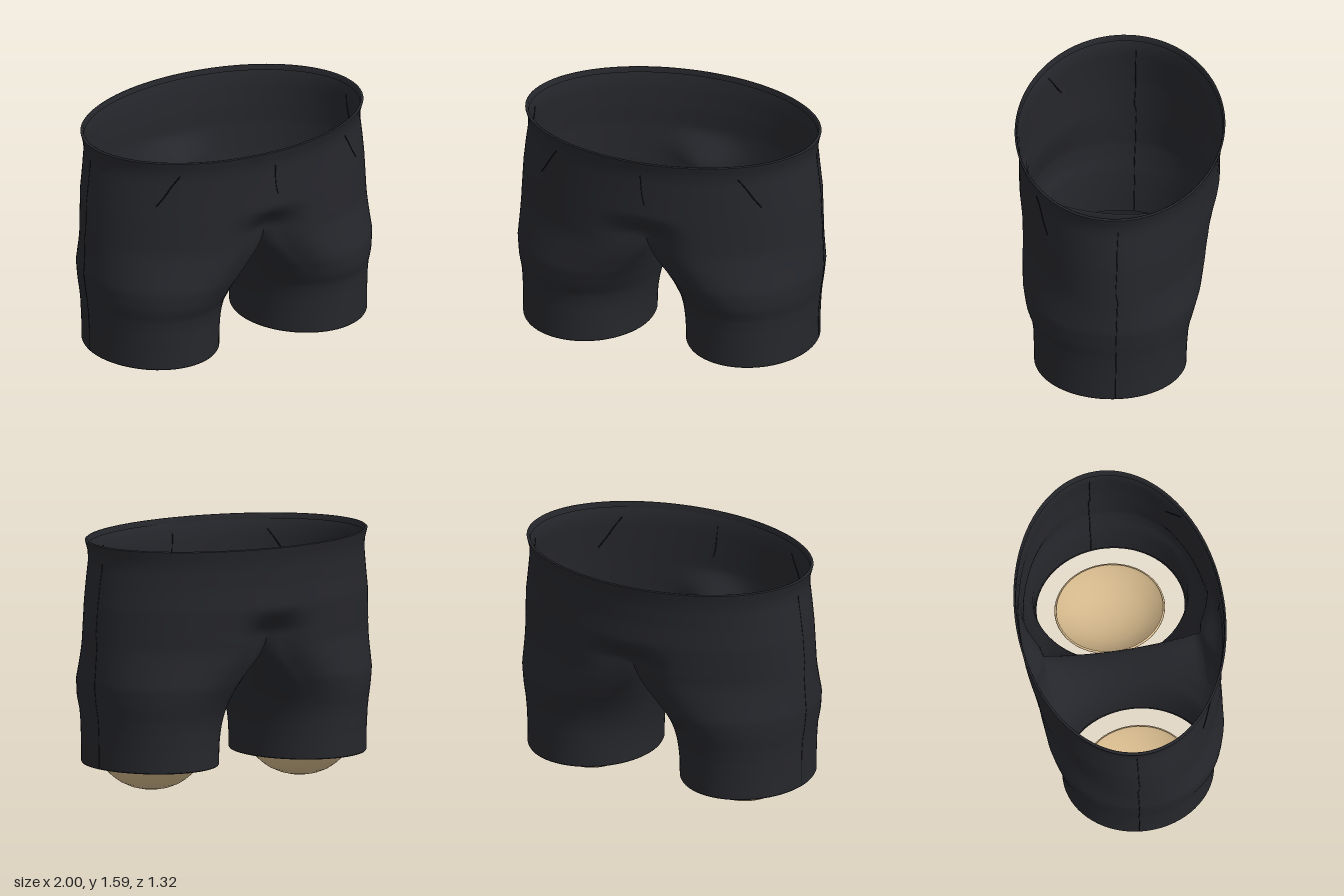
import * as THREE from 'three';
import { mergeVertices } from 'three/addons/utils/BufferGeometryUtils.js';

const cloth = new THREE.MeshStandardMaterial({ color: 0x26272c, side: THREE.DoubleSide });
const seamMat = new THREE.MeshStandardMaterial({ color: 0x121316 });
const skin = new THREE.MeshStandardMaterial({ color: 0xd2b68a, side: THREE.DoubleSide });

const HEM = 0.17, SPLIT = 1.0, WAIST = 1.585;
const OUTER = THREE.MathUtils.degToRad(120); // columns beyond this angle end at the crotch
const { lerp, smoothstep } = THREE.MathUtils;

// Silhouette: height, outer x, front z, back z
const profile = [
  [0.17, 0.96, 0.51, -0.45], [0.3, 0.96, 0.512, -0.453], [0.42, 0.965, 0.517, -0.462],
  [0.5, 0.972, 0.53, -0.477], [0.58, 0.985, 0.568, -0.505], [0.7, 0.998, 0.605, -0.55],
  [0.85, 0.99, 0.625, -0.585], [1.0, 0.985, 0.635, -0.61], [1.2, 0.975, 0.635, -0.625],
  [1.33, 0.96, 0.635, -0.625], [1.46, 0.943, 0.637, -0.635], [1.52, 0.945, 0.645, -0.645],
  [1.585, 0.962, 0.664, -0.66],
];

function section(y) {
  let i = 0;
  while (i < profile.length - 2 && y > profile[i + 1][0]) i++;
  const a = profile[i], b = profile[i + 1];
  const k = THREE.MathUtils.clamp((y - a[0]) / (b[0] - a[0]), 0, 1);
  const [, xo, zf, zb] = a.map((n, j) => lerp(n, b[j], k));
  return { xo, zc: (zf + zb) / 2, rz: (zf - zb) / 2 };
}

// Half ellipse of the hips, dented at the centre just above the crotch
function torsoPoint(a, y) {
  const { xo, zc, rz } = section(y);
  const phi = (a / OUTER) * Math.PI / 2;
  const x = Math.max(0, xo * Math.cos(phi));
  const dent = 0.2 * (1 - smoothstep(y, SPLIT, 1.2)) * Math.exp(-((x / 0.18) ** 2));
  return new THREE.Vector3(x, y, zc + rz * Math.sin(phi) * (1 - dent));
}

// Leg ellipse blending upward into the hips outside and the crotch curve inside
function legPoint(a, v) {
  const inside = Math.abs(a) > OUTER;
  const t = inside ? Math.sign(a) * (Math.PI - Math.abs(a)) / (Math.PI - OUTER) : 1;
  const y = lerp(HEM, SPLIT - 0.1 * (1 - t * t), v);
  const { xo, zc, rz } = section(y);
  const rx = (xo - 0.128) / 2;
  const p = new THREE.Vector3(0.128 + rx + rx * Math.cos(a), y, zc + rz * Math.sin(a));
  const target = inside ? new THREE.Vector3(0, y, zc + t * rz * 0.8) : torsoPoint(a, y);
  return p.lerp(target, Math.pow(smoothstep(v, 0, 1), 1.3 + 1.1 * t * t));
}

// Adds a grid of quads and its mirror image to a list of triangle corners
function addGrid(out, cols, rows, fn) {
  const put = (mirror, ...pts) => pts.forEach(p => out.push(mirror ? -p.x : p.x, p.y, p.z));
  for (let i = 0; i < cols; i++) for (let j = 0; j < rows; j++) {
    const a = fn(i / cols, j / rows), b = fn((i + 1) / cols, j / rows);
    const c = fn((i + 1) / cols, (j + 1) / rows), d = fn(i / cols, (j + 1) / rows);
    put(false, a, d, c, a, c, b);
    put(true, a, c, d, a, b, c);
  }
}

function clothMesh(name, corners) {
  const raw = new THREE.BufferGeometry();
  raw.setAttribute('position', new THREE.Float32BufferAttribute(corners, 3));
  const geo = mergeVertices(raw, 1e-4);
  geo.computeVertexNormals();
  const mesh = new THREE.Mesh(geo, cloth);
  mesh.name = name;
  return mesh;
}

function seam(name, points, radius = 0.004) {
  const curve = new THREE.CatmullRomCurve3(points);
  const mesh = new THREE.Mesh(new THREE.TubeGeometry(curve, 48, radius, 6), seamMat);
  mesh.name = name;
  return mesh;
}

// Point on the front of the hips at a given x and height
const frontPoint = (x, y) => {
  const p = torsoPoint(OUTER * Math.acos(Math.abs(x) / section(y).xo) / (Math.PI / 2), y);
  p.x *= x < 0 ? -1 : 1;
  return p;
};

export function createModel() {
  const group = new THREE.Group();
  const full = u => (u * 2 - 1) * Math.PI;
  const half = u => (u * 2 - 1) * OUTER;

  // Legs and hips as one continuous garment
  const body = [];
  addGrid(body, 72, 36, (u, v) => legPoint(full(u), v));
  addGrid(body, 48, 26, (u, v) => torsoPoint(half(u), lerp(SPLIT, WAIST, v)));
  group.add(clothMesh('shorts', body));

  // Rolled edges at the waist and leg openings
  const inset = [[1, 0], [0.992, 0.006], [0.98, 0.004], [0.975, -0.03]];
  const waist = [], hems = [];
  addGrid(waist, 48, 3, (u, v) => {
    const [s, dy] = inset[Math.round(v * 3)];
    const p = torsoPoint(half(u), WAIST);
    return p.set(p.x * s, p.y + dy, p.z * s);
  });
  addGrid(hems, 72, 3, (u, v) => {
    const [s, dy] = inset[3 - Math.round(v * 3)];
    const p = legPoint(full(u), 0);
    return p.set(0.544 + (p.x - 0.544) * s, p.y - dy, 0.03 + (p.z - 0.03) * s);
  });
  group.add(clothMesh('waistEdge', waist), clothMesh('legHems', hems));

  // Shallow rounded leg ends inside the openings
  const bowl = [[0, 0], [0.2, 0.003], [0.4, 0.018], [0.6, 0.045], [0.75, 0.078],
    [0.87, 0.112], [0.96, 0.143], [1, 0.163], [0.995, 0.175], [0.965, 0.178]];
  const bowlGeo = new THREE.LatheGeometry(bowl.map(([r, y]) => new THREE.Vector2(r, y)), 48);

  for (const side of [1, -1]) {
    const label = side > 0 ? 'left' : 'right';
    const end = new THREE.Mesh(bowlGeo, skin);
    end.name = label + 'LegEnd';
    end.scale.set(0.3, 1, 0.35);
    end.position.set(side * 0.548, 0, 0.025);
    group.add(end);

    // Side seam from waist to hem
    const line = [];
    for (let i = 0; i <= 20; i++) {
      const y = lerp(HEM + 0.005, 1.48, i / 20);
      const p = y < SPLIT ? legPoint(-0.12, (y - HEM) / (SPLIT - HEM)) : torsoPoint(-0.09, y);
      line.push(p.set(side * (p.x - 0.001), p.y, p.z));
    }
    group.add(seam(label + 'SideSeam', line, 0.003));

    // Slanted pocket
    group.add(seam(label + 'Pocket', [[0.605, 1.49], [0.65, 1.42], [0.69, 1.35], [0.735, 1.28]]
      .map(([x, y]) => frontPoint(side * x, y))));
  }

  // Front fly
  group.add(seam('fly', [[0.005, 1.49], [0.01, 1.4], [0.018, 1.33], [0.03, 1.28]]
    .map(([x, y]) => frontPoint(x, y)), 0.003));
  return group;
}
